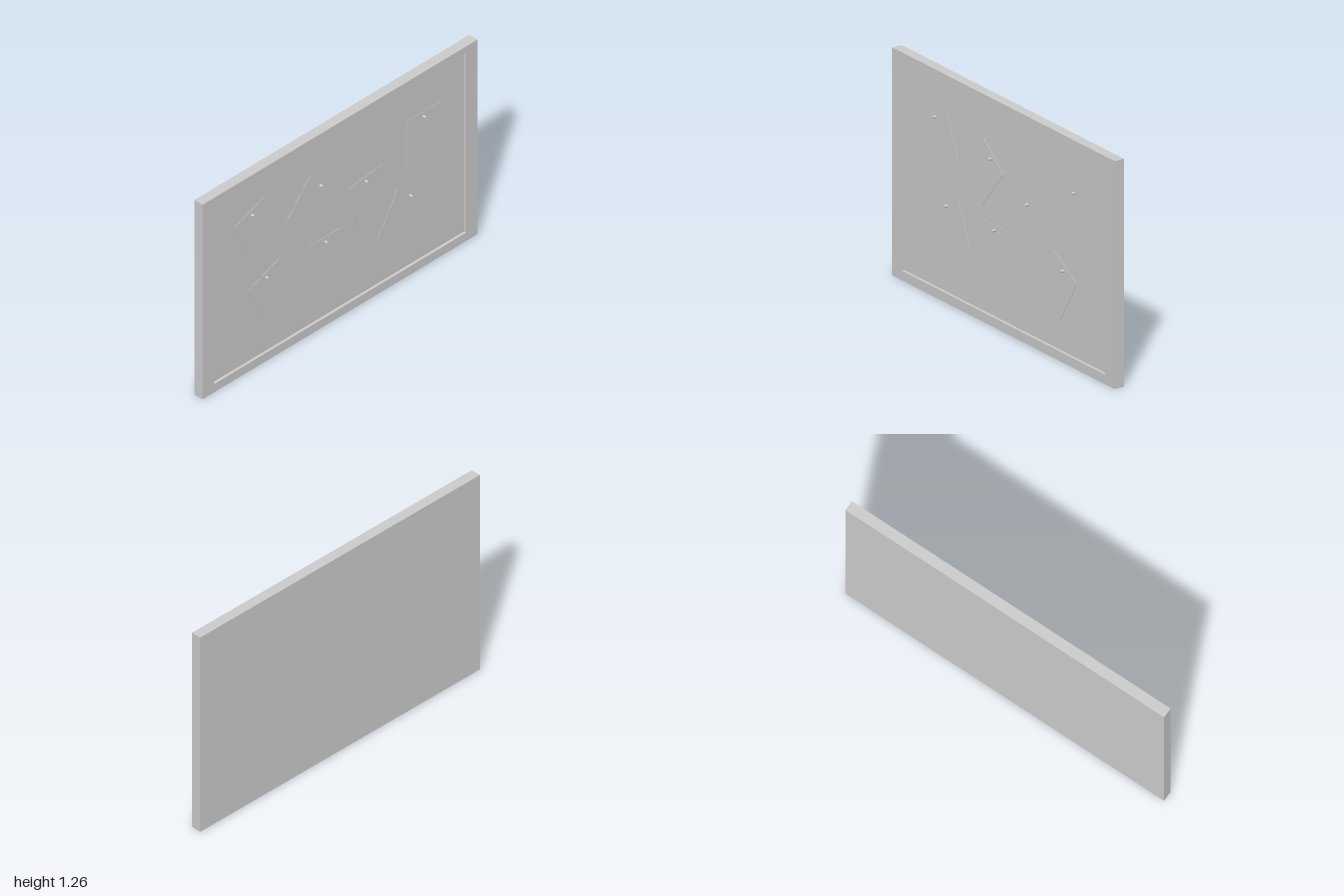
import * as THREE from 'three';

const W = 2, H = 1.26;                        // outer size
const BACK = -0.033, RIM = 0.026, BOARD = 0.01; // depths of back, frame front, board face
const PIN_FRONT = 0.033;
const NOTE = { w: 0.24, h: 0.285, t: 0.002, pinDrop: 0.029 };

// pin x, pin y, tilt in degrees
const NOTES = [
  [-0.63, 0.99, 22],
  [-0.13, 0.915, -40],
  [0.2, 0.765, 7],
  [0.62, 0.96, 0],
  [-0.525, 0.53, 22],
  [-0.095, 0.53, 0],
  [0.523, 0.5, -31],
];

const material = new THREE.MeshStandardMaterial({ color: 0xcccccc });

function add(parent, geometry, name) {
  const mesh = new THREE.Mesh(geometry, material);
  mesh.name = name;
  parent.add(mesh);
  return mesh;
}

function rectangle(PathType, x0, y0, x1, y1) {
  return new PathType([[x0, y0], [x1, y0], [x1, y1], [x0, y1]].map(([x, y]) => new THREE.Vector2(x, y)));
}

export function createModel() {
  const model = new THREE.Group();
  model.name = 'noticeBoard';

  // Frame: wide stiles, narrower rails
  const outline = rectangle(THREE.Shape, -W / 2, 0, W / 2, H);
  const opening = { x: 0.917, y0: 0.053, y1: 1.213 };
  outline.holes.push(rectangle(THREE.Path, -opening.x, opening.y0, opening.x, opening.y1));
  const frame = add(model, new THREE.ExtrudeGeometry(outline, { depth: RIM - BACK, bevelEnabled: false }), 'frame');
  frame.position.z = BACK;

  // Recessed board filling the opening, flush with the back
  const board = add(model, new THREE.BoxGeometry(2 * opening.x, opening.y1 - opening.y0, BOARD - BACK), 'board');
  board.position.set(0, (opening.y0 + opening.y1) / 2, (BOARD + BACK) / 2);

  // Paper notes, each hanging from a pin near its top edge
  const paperGeometry = new THREE.BoxGeometry(NOTE.w, NOTE.h, NOTE.t);
  paperGeometry.translate(0, NOTE.pinDrop - NOTE.h / 2, NOTE.t / 2);
  const pinLength = PIN_FRONT - BOARD;
  const pinGeometry = new THREE.CylinderGeometry(0.008, 0.008, pinLength, 12);
  pinGeometry.rotateX(Math.PI / 2).translate(0, 0, pinLength / 2);

  for (const [x, y, tilt] of NOTES) {
    const note = new THREE.Group();
    note.name = 'pinnedNote';
    note.position.set(x, y, BOARD);
    note.rotation.z = THREE.MathUtils.degToRad(tilt);
    add(note, paperGeometry, 'paper');
    add(note, pinGeometry, 'pin');
    model.add(note);
  }
  return model;
}
